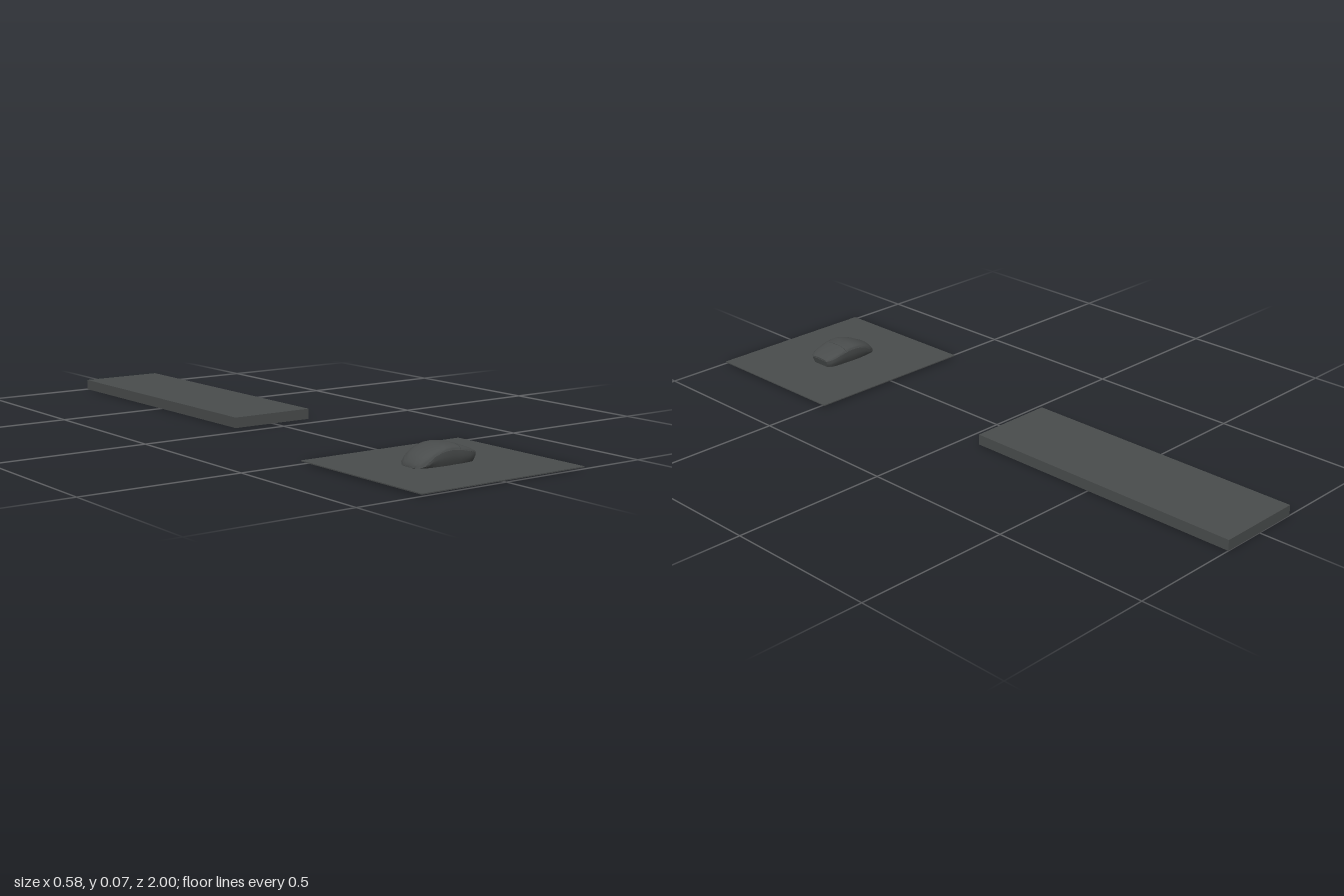
import * as THREE from 'three';
import { toCreasedNormals } from 'three/addons/utils/BufferGeometryUtils.js';

// Mouse stations along x: [x, seam height, top height, half width]
const STATIONS = [
  [-0.120, 0.0125, 0.017, 0.022], [-0.115, 0.013, 0.026, 0.034],
  [-0.108, 0.015, 0.034, 0.042], [-0.098, 0.020, 0.044, 0.048],
  [-0.085, 0.030, 0.050, 0.052], [-0.070, 0.041, 0.057, 0.054],
  [-0.050, 0.049, 0.064, 0.056], [-0.030, 0.053, 0.0685, 0.057],
  [-0.010, 0.054, 0.070, 0.057], [0.005, 0.053, 0.069, 0.056],
  [0.0205, 0.051, 0.066, 0.056], [0.022, 0.0508, 0.0656, 0.056],
  [0.040, 0.047, 0.061, 0.055], [0.060, 0.042, 0.054, 0.053],
  [0.078, 0.037, 0.047, 0.048], [0.088, 0.034, 0.042, 0.042],
  [0.093, 0.032, 0.038, 0.035],
];
const SPLIT = 11; // first station of the button
const BOTTOM = 0.011;

// Skin closed rings (from +z over the top to -z), with both ends capped
function loft(rings) {
  const n = rings[0].length, index = [], pos = rings.flat(2);
  for (let i = 0; i < rings.length - 1; i++) {
    for (let j = 0; j < n; j++) {
      const k = (j + 1) % n;
      const a = i * n + j, b = i * n + k, c = b + n, d = a + n;
      index.push(a, d, c, a, c, b);
    }
  }
  const e = (rings.length - 1) * n;
  for (let j = 1; j < n - 1; j++) index.push(0, j, j + 1, e, e + j + 1, e + j);
  const g = new THREE.BufferGeometry();
  g.setAttribute('position', new THREE.Float32BufferAttribute(pos, 3));
  g.setIndex(index);
  return toCreasedNormals(g, 0.6);
}

// Lower body: sides bulging between the sole and the seam
function bodyRing([x, seam, , w]) {
  const h = seam - BOTTOM;
  const half = [[0.86, 0], [0.95, 0.3], [1, 0.65], [0.99, 1]];
  // the nose tucks in under the button
  const px = (t) => (x > 0.08 ? x - (1 - t) * 0.006 : x);
  const side = half.map(([s, t]) => [px(t), BOTTOM + h * t, s * w]);
  return [...side, ...side.map(([a, y, z]) => [a, y, -z]).reverse()];
}

// Upper shell: a flattened dome above the seam
function shellRing([x, seam, top, w]) {
  const ring = [], steps = 14;
  for (let j = 0; j <= steps; j++) {
    const a = (Math.PI * j) / steps, c = Math.cos(a);
    const z = Math.sign(c) * Math.abs(c) ** 0.8 * (w * 0.985);
    ring.push([x, seam + 0.0005 + (top - seam - 0.0005) * Math.max(0, Math.sin(a)) ** 0.9, z]);
  }
  return ring;
}

export function createModel() {
  const model = new THREE.Group();
  const charcoal = new THREE.MeshStandardMaterial({ color: 0x494c4c });
  charcoal.name = 'charcoal';

  const add = (parent, name, geometry, x = 0, y = 0, z = 0) => {
    const mesh = new THREE.Mesh(geometry, charcoal);
    mesh.name = name;
    mesh.position.set(x, y, z);
    parent.add(mesh);
  };

  // Keyboard slab and mat
  add(model, 'keyboard', new THREE.BoxGeometry(0.28, 0.033, 0.94), 0, 0.0165, -0.53);
  add(model, 'mousePad', new THREE.BoxGeometry(0.58, 0.003, 0.515), 0, 0.0055, 0.7425);

  // Mouse: body, rear shell and button with a narrow gap between them
  const mouse = new THREE.Group();
  mouse.name = 'mouse';
  mouse.position.z = 0.742;
  add(mouse, 'mouseBody', loft(STATIONS.map(bodyRing)));
  add(mouse, 'palmShell', loft(STATIONS.slice(0, SPLIT).map(shellRing)));
  add(mouse, 'buttonShell', loft(STATIONS.slice(SPLIT).map(shellRing)));
  model.add(mouse);
  return model;
}
